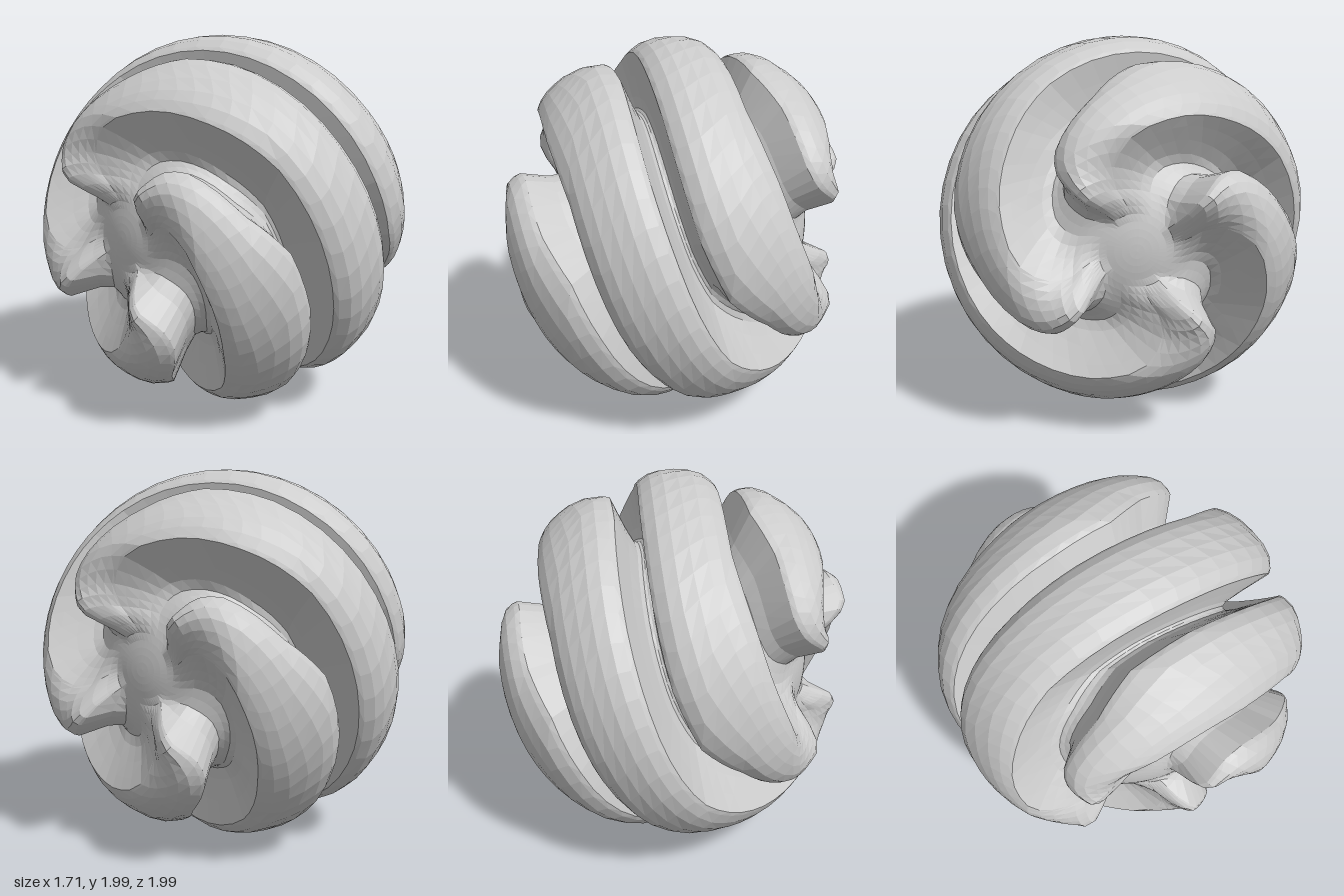
import * as THREE from 'three';

// Stations from equator to tip: latitude, twist of an arm, half width of an arm (degrees)
const STATIONS = [
  [0, 0, 33.5], [8, 20, 34], [15, 38, 34], [24, 59, 32], [37, 79, 27], [49, 105, 25],
  [55, 116, 19], [61, 121, 14], [66, 121, 13], [74, 113, 13], [90, 110, 14],
];
const ARMS = 4;
const RIDGE = [-1, -0.9, -0.65, -0.35, 0, 0.35, 0.65, 0.9, 1]; // across an arm
const GAP = [0.08, 0.2, 0.35, 0.5, 0.65, 0.8, 0.92];           // across a groove
const { lerp, clamp, smoothstep, degToRad } = THREE.MathUtils;

function station(lat) {
  const a = Math.abs(lat);
  let i = 1;
  while (i < STATIONS.length - 1 && a > STATIONS[i][0]) i++;
  const p = STATIONS[i - 1], q = STATIONS[i];
  const t = (a - p[0]) / (q[0] - p[0]);
  return { twist: Math.sign(lat) * lerp(p[1], q[1], t), half: lerp(p[2], q[2], t) };
}

// One ring of [angle, radius] pairs around the x axis
function ring(lat) {
  const { twist, half } = station(lat);
  const a = Math.abs(lat);
  const floor = lerp(0.63, 0.7, smoothstep(a, 15, 50));
  const fade = 1 - smoothstep(a, 63, 77);      // arms stop short of the poles
  const skew = clamp(lat / 45, -1, 1);         // trailing walls slope gently
  const tilt = 0.16 * smoothstep(a, 50, 68);   // tips lean toward their leading edge
  const top = (u) => {
    const trailing = Math.max(0, -u * skew);
    const round = (0.065 - 0.04 * trailing) * Math.pow(Math.abs(u), 3.5);
    return 0.995 - round - tilt * (1 - u * skew) / 2;
  };
  const out = [];
  for (let k = 0; k < ARMS; k++) {
    const mid = twist + k * 360 / ARMS;
    for (const u of RIDGE) out.push([mid + u * half, lerp(floor, top(u), fade)]);
    const gap = 360 / ARMS - 2 * half;
    for (const f of GAP) {
      const side = f < 0.5 ? -1 : 1;
      const power = 4 - 2.5 * side * skew;
      const rise = (top(-side) - floor) * Math.pow(Math.abs(2 * f - 1), power);
      out.push([mid + half + f * gap, floor + rise * fade]);
    }
  }
  return out;
}

function spiralBody() {
  const lats = [];
  for (let l = -90; l <= 90; l += 3) lats.push(l);
  const pos = [], index = [];
  const n = ARMS * (RIDGE.length + GAP.length);
  lats.forEach((lat, row) => {
    const c = Math.cos(degToRad(lat)), s = Math.sin(degToRad(lat));
    for (const [angle, r] of ring(lat)) {
      const a = degToRad(angle);
      pos.push(r * s, r * c * Math.cos(a), r * c * Math.sin(a));
    }
    if (row === lats.length - 1) return;
    for (let j = 0; j < n; j++) {
      const p = row * n + j, q = row * n + (j + 1) % n;
      if (row > 0) index.push(p, q, p + n);
      if (row < lats.length - 2) index.push(q, q + n, p + n);
    }
  });
  const geo = new THREE.BufferGeometry();
  geo.setAttribute('position', new THREE.Float32BufferAttribute(pos, 3));
  geo.setIndex(index);
  geo.computeVertexNormals();
  return geo;
}

export function createModel() {
  const group = new THREE.Group();
  group.name = 'spiralBall';
  const material = new THREE.MeshStandardMaterial({ color: 0xcccccc, flatShading: true });
  const body = new THREE.Mesh(spiralBody(), material);
  body.name = 'spiralArms';
  body.position.y = 1;
  group.add(body);
  return group;
}
